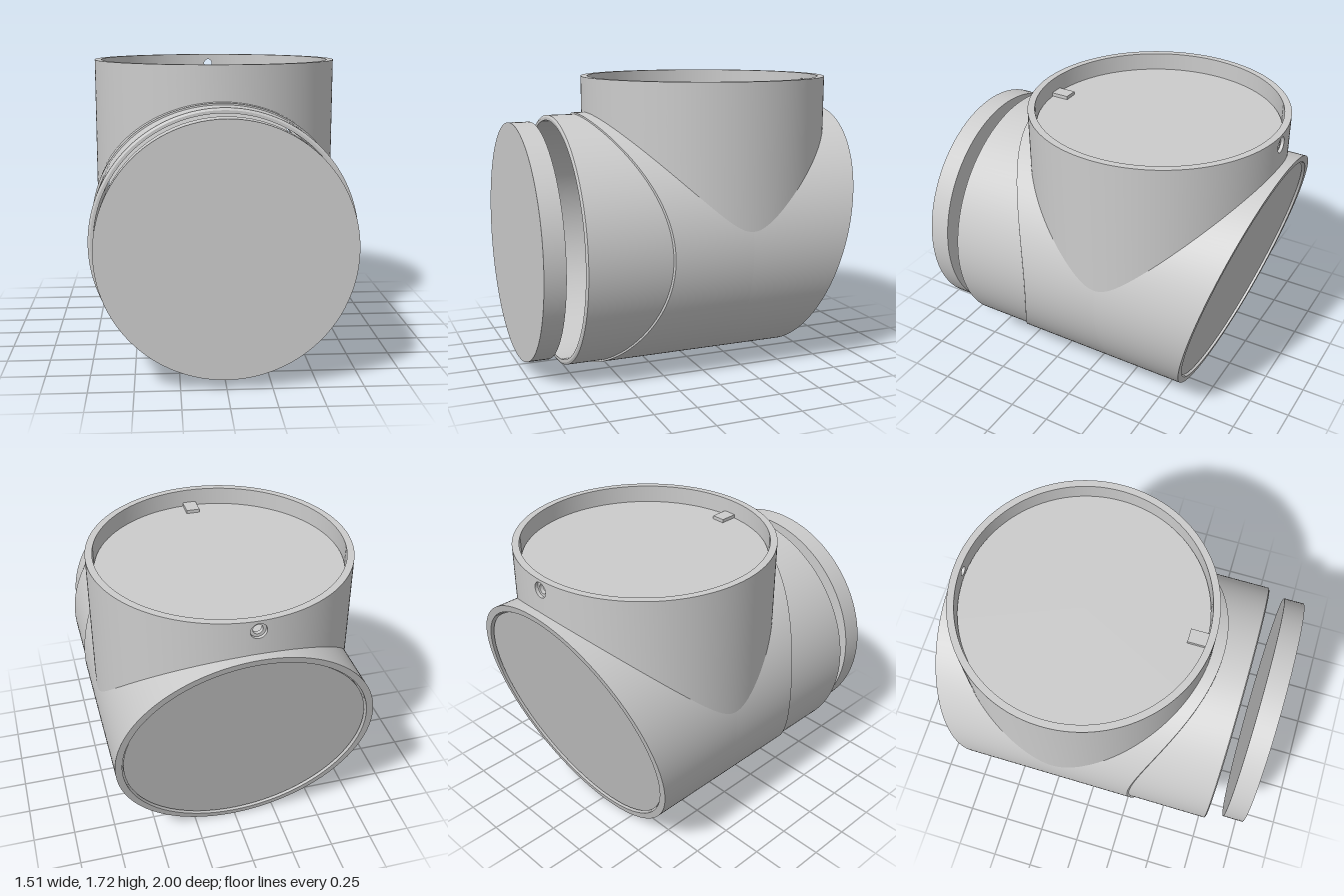
import * as THREE from 'three';

const YC = 0.755;            // axis height of the horizontal tube
const ZC = -0.2;             // axis position of the upright tube
const R_OUT = 0.755, R_COLLAR = 0.745, R_IN = 0.715;
const V_OUT = 0.745, V_IN = 0.705, TOP = 1.715;
const HOLE_ANGLE = 0.09;     // half-angle of the wall patch holding the screw hole

const material = new THREE.MeshStandardMaterial({ color: 0xcccccc, side: THREE.DoubleSide });

function addMesh(parent, name, geometry) {
  const mesh = new THREE.Mesh(geometry, material);
  mesh.name = name;
  parent.add(mesh);
  return mesh;
}

// Strip of quads between two curves, each a function of the angle
function band(curveA, curveB, start = -Math.PI, end = Math.PI, segments = 192) {
  const positions = [], index = [];
  for (let i = 0; i <= segments; i++) {
    const angle = start + (end - start) * i / segments;
    positions.push(...curveA(angle), ...curveB(angle));
    if (i < segments) {
      const a = 2 * i;
      index.push(a, a + 2, a + 1, a + 2, a + 3, a + 1);
    }
  }
  const geometry = new THREE.BufferGeometry();
  geometry.setAttribute('position', new THREE.Float32BufferAttribute(positions, 3));
  geometry.setIndex(index);
  geometry.computeVertexNormals();
  return geometry;
}

// Ring about the horizontal axis; zAt(x, y, angle) places each point along it
const across = (r, zAt) => (angle) => {
  const x = r * Math.sin(angle), y = YC + r * Math.cos(angle);
  return [x, y, zAt(x, y, angle)];
};
// Ring about the upright axis; yAt(x) gives its height
const upright = (r, yAt) => (angle) => {
  const x = r * Math.sin(angle);
  return [x, yAt(x), ZC + r * Math.cos(angle)];
};

const slant = (x, y) => -0.597 - 0.4 * y / 1.51;
const seam = (x) => 0.61 - 0.33 * (x / 0.75) ** 2;
const at = (value) => () => value;
// Edge of the opening under the upright tube (closed on the lower half)
const opening = (r, side) => (x, y, angle) =>
  ZC + (Math.cos(angle) > 0 ? side * Math.sqrt(Math.max(0, r * r - x * x)) : 0);
// Saddle where the upright wall meets the horizontal tube
const saddle = (r, overlap) => (x) => YC + Math.sqrt(Math.max(0, r * r - x * x)) - overlap;

function buildBody() {
  const body = new THREE.Group();
  body.name = 'horizontalTube';
  const add = (name, rA, zA, rB, zB) => addMesh(body, name, band(across(rA, zA), across(rB, zB)));
  add('frontRim', R_IN, at(0.775), 0.732, at(0.775));
  add('frontRimBevel', 0.732, at(0.775), R_COLLAR, at(0.768));
  add('frontCollar', R_COLLAR, at(0.768), R_COLLAR, seam);
  add('collarStep', R_COLLAR, seam, R_OUT, seam);
  add('outerWallFront', R_OUT, seam, R_OUT, opening(0.735, 1));
  add('outerWallBack', R_OUT, opening(0.735, -1), R_OUT, slant);
  add('backRim', R_OUT, slant, R_IN, slant);
  add('innerWallBack', R_IN, slant, R_IN, opening(V_IN, -1));
  add('innerWallFront', R_IN, opening(V_IN, 1), R_IN, at(0.775));
  return body;
}

// One layer of the wall patch with a round hole, bent around the upright axis
function holeLayer(innerR, outerR, holeR) {
  const w = HOLE_ANGLE * V_OUT, bottom = 1.45;
  const shape = new THREE.Shape();
  const steps = 8;
  shape.moveTo(-w, bottom);
  for (let i = 1; i <= steps; i++) shape.lineTo(-w + 2 * w * i / steps, bottom);
  for (let i = steps; i >= 0; i--) shape.lineTo(-w + 2 * w * i / steps, TOP);
  shape.closePath();
  const hole = new THREE.Path();
  hole.absarc(0, 1.653, holeR, 0, Math.PI * 2, true);
  shape.holes.push(hole);
  const geometry = new THREE.ExtrudeGeometry(shape, {
    depth: outerR - innerR, bevelEnabled: false, curveSegments: 16,
  });
  const p = geometry.attributes.position, n = geometry.attributes.normal;
  for (let i = 0; i < p.count; i++) {
    const angle = Math.PI + p.getX(i) / V_OUT;
    const r = innerR + p.getZ(i);
    const s = Math.sin(angle), c = Math.cos(angle);
    p.setXYZ(i, r * s, p.getY(i), ZC + r * c);
    const nx = n.getX(i), nz = n.getZ(i);
    n.setXYZ(i, nx * c + nz * s, n.getY(i), nz * c - nx * s);
  }
  return geometry;
}

function buildUpright() {
  const tube = new THREE.Group();
  tube.name = 'uprightTube';
  const start = -Math.PI + HOLE_ANGLE, end = Math.PI - HOLE_ANGLE;
  const add = (name, a, b) => addMesh(tube, name, band(a, b, start, end));
  add('outerWall', upright(V_OUT, saddle(R_OUT, 0.015)), upright(V_OUT, at(TOP)));
  add('topRim', upright(V_OUT, at(TOP)), upright(V_IN, at(TOP)));
  add('innerWall', upright(V_IN, at(TOP)), upright(V_IN, saddle(R_IN, 0.01)));
  // Counterbored screw hole in the back of the wall
  addMesh(tube, 'screwHole', holeLayer(V_IN, 0.727, 0.028));
  addMesh(tube, 'screwHoleCounterbore', holeLayer(0.727, V_OUT, 0.045));
  return tube;
}

export function createModel() {
  const model = new THREE.Group();
  model.name = 'teeHousing';
  model.add(buildBody(), buildUpright());

  // Separate lid floating ahead of the open end
  const lid = addMesh(model, 'frontLid', new THREE.CylinderGeometry(0.705, 0.705, 0.123, 96));
  lid.rotation.x = Math.PI / 2;
  lid.position.set(0, 0.76, 0.9385);

  // Recessed disc in the upright tube, with its locating tab
  const disc = addMesh(model, 'topDisc', new THREE.CylinderGeometry(0.702, 0.702, 0.12, 96));
  disc.position.set(0, 1.552, ZC);
  const tab = addMesh(model, 'locatingTab', new THREE.BoxGeometry(0.08, 0.025, 0.11));
  tab.position.set(0, 1.62, 0.455);

  // Back plate sheared to follow the slanted end
  const plate = new THREE.CylinderGeometry(0.706, 0.706, 0.06, 96);
  plate.rotateX(Math.PI / 2).translate(0, YC, 0);
  const p = plate.attributes.position;
  for (let i = 0; i < p.count; i++) p.setZ(i, p.getZ(i) + slant(0, p.getY(i)) + 0.045);
  plate.computeVertexNormals();
  addMesh(model, 'backPlate', plate);

  return model;
}
